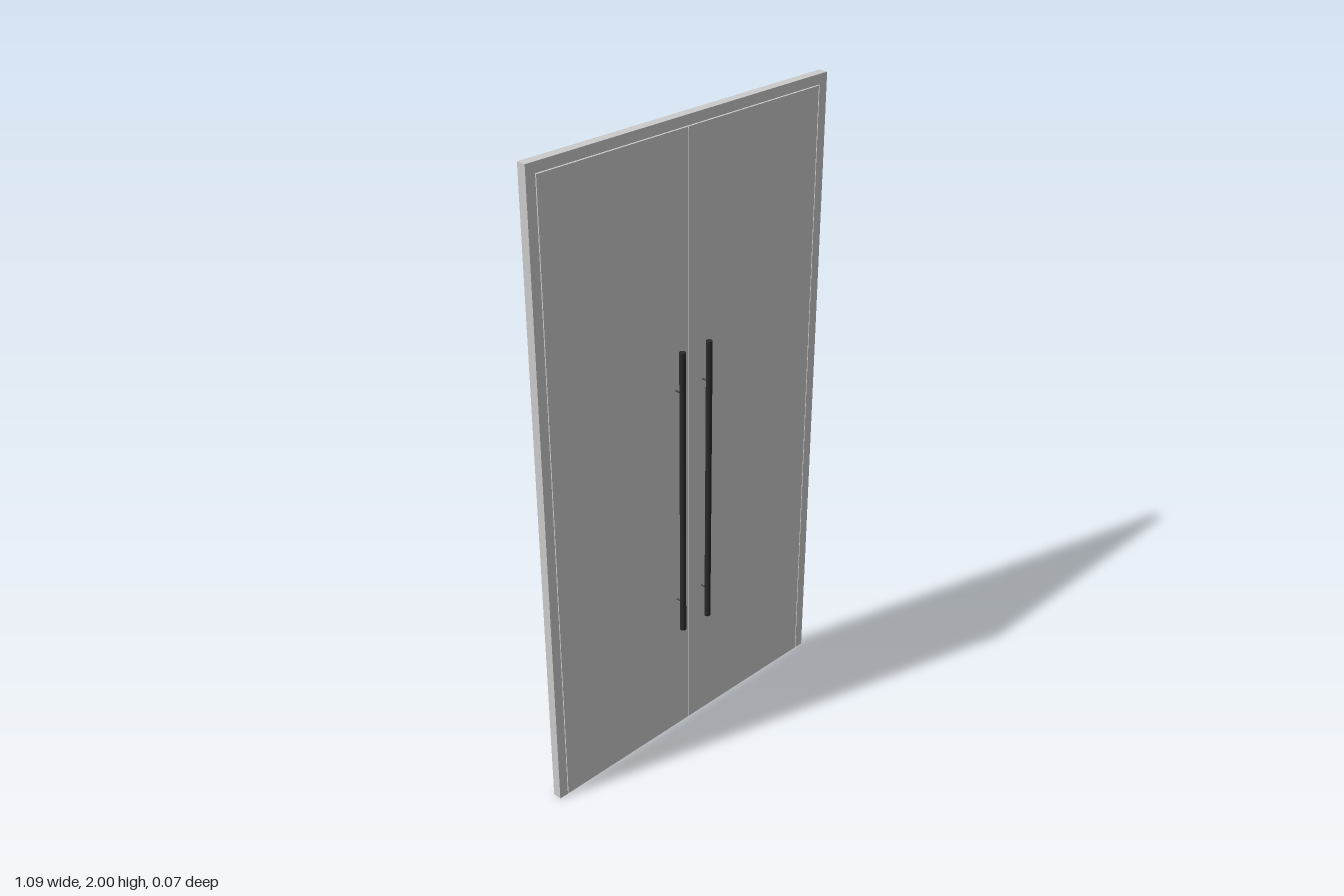
import * as THREE from 'three';

const W = 0.547, H = 2, JAMB = 0.03, BACK = -0.033, FRONT = -0.004, GAP = 0.003;

export function createModel() {
  const model = new THREE.Group();
  const grey = new THREE.MeshStandardMaterial({ color: 0xcccccc });
  const dark = new THREE.MeshStandardMaterial({ color: 0x2a2a2a });

  const add = (name, geometry, material, parent = model) => {
    const mesh = new THREE.Mesh(geometry, material);
    mesh.name = name;
    parent.add(mesh);
    return mesh;
  };
  // Box given by its lower and upper limits
  const slab = (name, x0, x1, y0, y1, z0, z1) => {
    const mesh = add(name, new THREE.BoxGeometry(x1 - x0, y1 - y0, z1 - z0), grey);
    mesh.position.set((x0 + x1) / 2, (y0 + y1) / 2, (z0 + z1) / 2);
  };

  // Door frame: two jambs and a head, open at the floor
  const inner = W - JAMB, top = H - JAMB;
  const outline = new THREE.Shape([
    [-W, 0], [-inner, 0], [-inner, top], [inner, top],
    [inner, 0], [W, 0], [W, H], [-W, H],
  ].map(([x, y]) => new THREE.Vector2(x, y)));
  const frame = new THREE.ExtrudeGeometry(outline, { depth: FRONT - BACK, bevelEnabled: false });
  add('doorFrame', frame, grey).position.z = BACK;

  // Continuous backing, set in from the rear of the frame
  slab('backPanel', -inner, inner, 0, top, -0.019, -0.011);

  // Pair of leaves with fine gaps around them
  slab('rightLeaf', -inner + GAP, -GAP / 2, 0, top - GAP, -0.011, FRONT);
  slab('leftLeaf', GAP / 2, inner - GAP, 0, top - GAP, -0.011, FRONT);

  // Long pull bars, each on two thin posts
  const barZ = 0.023;
  for (const [name, x] of [['rightHandle', -0.051], ['leftHandle', 0.055]]) {
    const handle = new THREE.Group();
    handle.name = name;
    handle.position.set(x, 0, barZ);
    model.add(handle);
    add('pullBar', new THREE.CylinderGeometry(0.0095, 0.0095, 0.95, 20), dark, handle).position.y = 0.865;
    for (const y of [0.49, 1.21]) {
      const length = barZ - FRONT;
      const post = add('handlePost', new THREE.CylinderGeometry(0.002, 0.002, length, 10), dark, handle);
      post.rotation.x = Math.PI / 2;
      post.position.set(0, y, -length / 2);
    }
  }
  return model;
}
